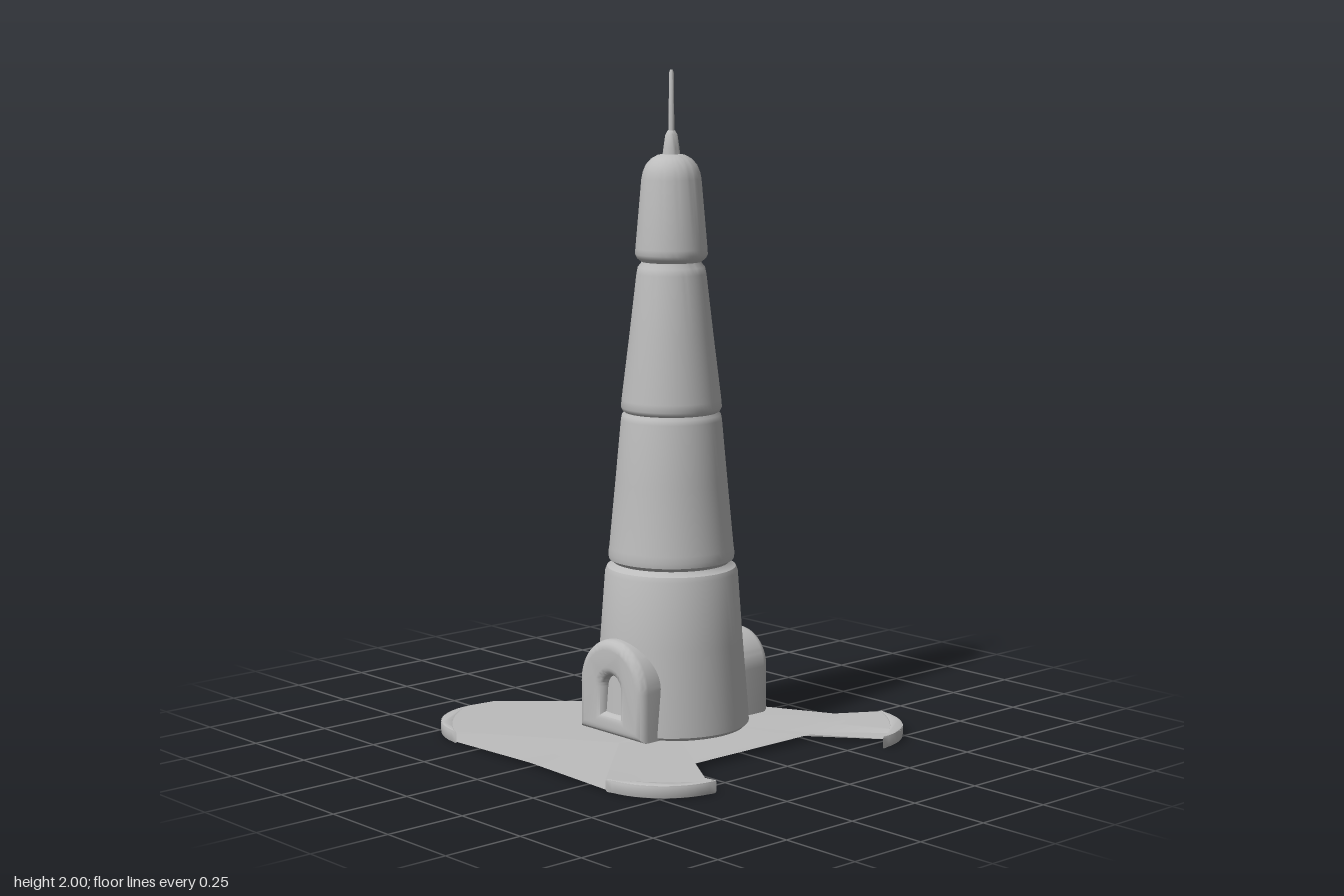
import * as THREE from 'three';
import { toCreasedNormals } from 'three/addons/utils/BufferGeometryUtils.js';

const stone = new THREE.MeshStandardMaterial({ color: 0xbcbcbc });
stone.name = 'pale grey';
const sheetGrey = new THREE.MeshStandardMaterial({ color: 0xbcbcbc, side: THREE.DoubleSide });
sheetGrey.name = 'pale grey sheet';

const V = (list) => list.map(([x, y]) => new THREE.Vector2(x, y));

// Turned part from [radius, height] pairs
function turned(name, profile, segments = 64) {
  const geo = toCreasedNormals(new THREE.LatheGeometry(V(profile), segments), 0.7);
  const mesh = new THREE.Mesh(geo, stone);
  mesh.name = name;
  return mesh;
}

// Arched doorway with an open recess, facing +x (side 1) or -x (side -1)
function doorway(name, side, halfWidth, height, reach, z) {
  const bevel = 0.028;
  const arch = (path, w, bottom, top) => {
    path.moveTo(-w, bottom);
    path.lineTo(w, bottom);
    path.lineTo(w, top - w);
    path.absarc(0, top - w, w, 0, Math.PI, false);
    path.lineTo(-w, bottom);
    return path;
  };
  const shape = arch(new THREE.Shape(), halfWidth - bevel, 0.035 + bevel, height - bevel);
  shape.holes.push(arch(new THREE.Path(), 0.036 + bevel, 0.046 + bevel, 0.215 + bevel));
  const start = 0.12;
  const geo = new THREE.ExtrudeGeometry(shape, {
    depth: reach - start - bevel, bevelEnabled: true, bevelThickness: bevel,
    bevelSize: bevel, bevelSegments: 5, curveSegments: 20,
  });
  geo.translate(0, 0, start);
  geo.rotateY(side * Math.PI / 2);
  geo.translate(0, 0, z);
  const mesh = new THREE.Mesh(toCreasedNormals(geo, 0.7), stone);
  mesh.name = name;
  return mesh;
}

// Rounded corner of the base, as [x, y, z] points running from the x side to the z side
function corner(sx, sz, y, n = 14) {
  return Array.from({ length: n + 1 }, (_, i) => {
    const a = (i / n) * Math.PI / 2;
    return [sx * (0.34 + 0.22 * Math.cos(a)), y, sz * (0.34 + 0.22 * Math.sin(a))];
  });
}

// Thin sheet: triangles fanned around a middle point
function sheet(name, middle, rim) {
  const pos = [];
  rim.forEach((p, i) => pos.push(...middle, ...rim[(i + 1) % rim.length], ...p));
  let geo = new THREE.BufferGeometry();
  geo.setAttribute('position', new THREE.Float32BufferAttribute(pos, 3));
  // Keep the front of the sheet on its upper side
  const [ax, , az] = rim[0], [bx, , bz] = rim[1];
  const up = (bz - middle[2]) * (ax - middle[0]) - (bx - middle[0]) * (az - middle[2]);
  if (up < 0) {
    for (let i = 0; i < pos.length; i += 9) {
      for (let k = 0; k < 3; k++) [pos[i + 3 + k], pos[i + 6 + k]] = [pos[i + 6 + k], pos[i + 3 + k]];
    }
    geo.setAttribute('position', new THREE.Float32BufferAttribute(pos, 3));
  }
  geo = toCreasedNormals(geo, 0.5);
  const mesh = new THREE.Mesh(geo, sheetGrey);
  mesh.name = name;
  return mesh;
}

// Crescent lip along a base corner
function lip(name, sx, sz) {
  const shape = new THREE.Shape(V(corner(sx, sz, 0).map(([x, , z]) => [x, z])));
  shape.quadraticCurveTo(sx * 0.485, sz * 0.485, sx * 0.56, sz * 0.34);
  const geo = new THREE.ExtrudeGeometry(shape, {
    depth: 0.026, bevelEnabled: true, bevelThickness: 0.006, bevelSize: 0.005,
    bevelOffset: -0.005, bevelSegments: 2, curveSegments: 14,
  });
  geo.rotateX(Math.PI / 2);
  geo.translate(0, 0.032, 0);
  const mesh = new THREE.Mesh(toCreasedNormals(geo, 0.7), stone);
  mesh.name = name;
  return mesh;
}

export function createModel() {
  const model = new THREE.Group();
  model.name = 'tower';

  // Stacked, tapering tower tiers with rounded grooves between them
  model.add(
    turned('lowerTier', [[0, 0.035], [0.225, 0.035], [0.235, 0.045], [0.234, 0.07],
      [0.215, 0.3], [0.2, 0.505], [0.194, 0.52], [0.175, 0.53], [0.17, 0.54]]),
    turned('secondTier', [[0.17, 0.53], [0.178, 0.538], [0.188, 0.545], [0.19, 0.56],
      [0.187, 0.58], [0.168, 0.78], [0.151, 0.965], [0.148, 0.98], [0.138, 0.99], [0.136, 1]]),
    turned('thirdTier', [[0.136, 0.985], [0.146, 0.992], [0.151, 1.002], [0.149, 1.025],
      [0.125, 1.22], [0.104, 1.4], [0.1, 1.42], [0.09, 1.432], [0.088, 1.445]]),
    turned('topTier', [[0.088, 1.435], [0.102, 1.446], [0.108, 1.458], [0.107, 1.475],
      [0.089, 1.68], [0.085, 1.7], [0.076, 1.722], [0.06, 1.74], [0.04, 1.751], [0, 1.757]]),
    turned('spireFoot', [[0.027, 1.745], [0.024, 1.77], [0.018, 1.81], [0.011, 1.822], [0, 1.826]], 24),
    turned('spire', [[0.009, 1.81], [0.007, 1.99], [0.004, 2], [0, 2]], 16),
  );

  // Side doorways
  model.add(
    doorway('leftDoorway', 1, 0.11, 0.288, 0.315, -0.005),
    doorway('rightDoorway', -1, 0.143, 0.325, 0.25, 0),
  );

  // Lips on the four base corners
  model.add(
    lip('frontLeftLip', 1, 1), lip('frontRightLip', -1, 1),
    lip('backLeftLip', 1, -1), lip('backRightLip', -1, -1),
  );

  // Upper sheets running from the tower to the corners
  const t = 0.037;
  model.add(
    sheet('backRightWing', [-0.2, t, -0.2], [
      ...corner(-1, -1, t), [-0.25, t, -0.55], [0.17, t, -0.17], [0, t, 0], [-0.28, t, 0.08],
    ]),
    sheet('frontRightWing', [-0.36, 0.032, 0.33], [
      ...corner(-1, 1, t), [-0.36, 0.03, 0.55], [-0.23, 0.03, 0.345], [-0.12, t, 0.17], [-0.28, t, 0.08],
    ]),
    sheet('frontLeftWing', [0.35, 0.03, 0.32], [
      ...corner(1, 1, 0.034).slice(0, 11), [0.425, 0.03, 0.54], [0.24, 0.025, 0.34],
      [0.12, t, 0.19], [0.15, t, 0], [0.32, t, 0.05], [0.46, 0.025, 0.24],
    ]),
    sheet('backLeftWing', [0.32, 0.036, -0.17], [
      [0.535, 0.03, -0.4], [0.17, t, -0.17], [0.1, t, 0], [0.31, t, 0.03],
    ]),
    sheet('rightPanel', [-0.42, 0.032, 0.07], [
      [-0.44, t, -0.17], [-0.28, t, 0.08], [-0.54, 0.025, 0.29],
    ]),
  );

  // Continuous underside
  const b = 0.006;
  model.add(sheet('underside', [-0.08, 0.024, 0], [
    ...corner(-1, -1, b), [-0.25, 0.03, -0.55], [0.17, 0.032, -0.17], [0.31, 0.032, 0.03],
    [0.46, 0.018, 0.24], ...corner(1, 1, b).slice(0, 11), [0.25, 0.018, 0.345],
    [-0.23, 0.018, 0.345], ...corner(-1, 1, b).reverse(), [-0.555, 0.012, 0],
  ]));

  return model;
}
